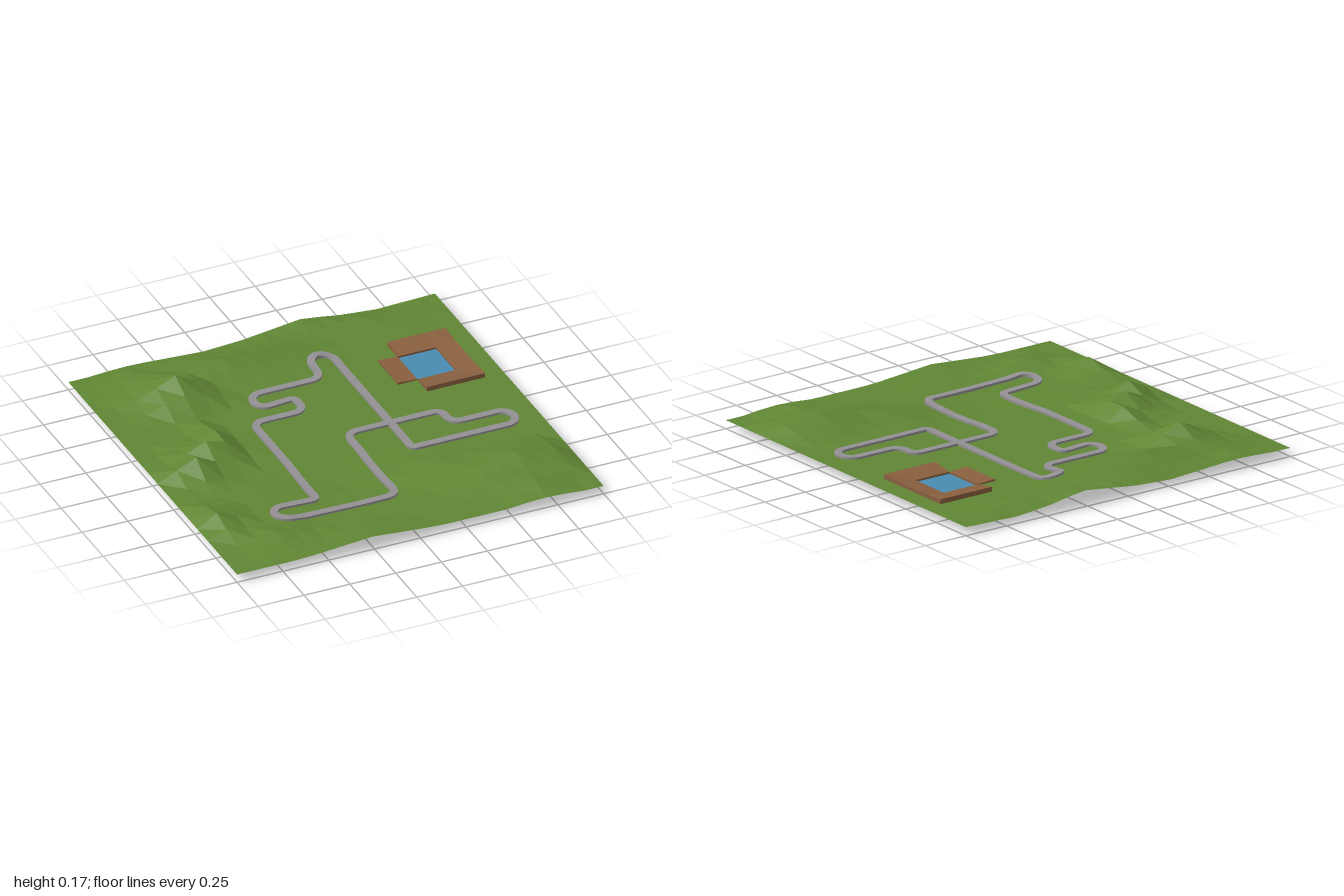
import * as THREE from 'three';

const COLS = 19, ROWS = 17, BASE = 0.045;
const gx = i => -1 + (2 * i) / COLS;
const gz = j => -1 + (2 * j) / ROWS;

// Hills and hollows on the ground grid: column, row, rise, reach in columns, reach in rows
const HILLS = [
  // back edge and north-west ridge
  [4, 3, 0.127, 2.6, 2.2], [7, 2, 0.078, 7, 1.6], [3, 1, 0.03, 2.5, 1.5],
  [12, 0, 0.04, 3, 1.5], [15, 1, 0.03, 4, 1.5], [16, 0, -0.018, 2.5, 1.2], [7, 0, -0.012, 2, 1],
  // western hills
  [2, 9, 0.1, 2, 1.3], [3, 8, 0.1, 2.2, 1.5], [4, 7.5, 0.09, 1.1, 2.5], [1, 13, 0.068, 1.8, 2.2],
  // southern bank, front edge and hollow
  [16, 14, 0.08, 5, 2.2], [13, 13, 0.035, 3, 1.5], [16, 16, 0.043, 2.5, 1.5],
  [3, 15, 0.04, 2.5, 1.6], [7, 17, 0.03, 3.5, 2.2], [8, 12, -0.025, 4, 2.5],
];

// Ground height at a grid corner: highest hill plus deepest hollow, level along both side edges
function ground(i, j) {
  if (i === 0 || i === COLS) return BASE;
  let up = 0, down = 0;
  for (const [ci, cj, rise, ri, rj] of HILLS) {
    const h = rise * Math.max(0, 1 - Math.hypot((i - ci) / ri, (j - cj) / rj));
    up = Math.max(up, h);
    down = Math.min(down, h);
  }
  return BASE + up + down;
}

// Bilinear ground height at any x, z
function groundAt(x, z) {
  const u = ((x + 1) * COLS) / 2, v = ((z + 1) * ROWS) / 2;
  const i = Math.floor(u), j = Math.floor(v), s = u - i, t = v - j;
  const l = THREE.MathUtils.lerp;
  return l(l(ground(i, j), ground(i + 1, j), s), l(ground(i, j + 1), ground(i + 1, j + 1), s), t);
}

// Collects quads with sharp faces
class Faces {
  constructor() { this.p = []; }
  quad(a, b, c, d) { for (const v of [a, b, c, a, c, d]) this.p.push(...v); }
  // Prism under a top quad; walls[k] tells whether edge k gets a side
  block(top, low, walls) {
    this.quad(...top);
    this.quad(low[0], low[3], low[2], low[1]);
    for (let k = 0; k < 4; k++) {
      const n = (k + 1) % 4;
      if (walls[k]) this.quad(low[k], low[n], top[n], top[k]);
    }
  }
  mesh(name, material) {
    const g = new THREE.BufferGeometry();
    g.setAttribute('position', new THREE.Float32BufferAttribute(this.p, 3));
    g.computeVertexNormals();
    const m = new THREE.Mesh(g, material);
    m.name = name;
    return m;
  }
}

// Cell layout of the pond
const isWater = (i, j) => i >= 15 && i < 17 && j >= 4 && j < 6;
const isBank = (i, j) => !isWater(i, j) &&
  ((i >= 15 && i < 18 && j >= 3 && j < 7) || (i === 14 && j >= 4 && j < 6));

function cellCorners(i, j, height) {
  return [[i, j], [i, j + 1], [i + 1, j + 1], [i + 1, j]].map(([a, b]) => [gx(a), height(a, b), gz(b)]);
}

// Slab covering all cells that pass the test, walled along its outline
function cellSlab(inside, top, bottom) {
  const f = new Faces();
  for (let i = 0; i < COLS; i++) for (let j = 0; j < ROWS; j++) {
    if (!inside(i, j)) continue;
    f.block(cellCorners(i, j, top), cellCorners(i, j, bottom),
      [!inside(i - 1, j), !inside(i, j + 1), !inside(i + 1, j), !inside(i, j - 1)]);
  }
  return f;
}

// Closed track centre line: corner x, z and rounding
const CORNERS = [
  [0.285, 0.285, 0.02], [0.87, 0.285, 0.066], [0.87, 0.152, 0.066], [0.56, 0.152, 0.06],
  [0.56, 0.025, 0.04], [0.04, 0.025, 0.06], [0.04, 0.65, 0.06], [-0.6, 0.65, 0.067],
  [-0.6, 0.515, 0.067], [-0.34, 0.515, 0.03], [-0.34, -0.255, 0.06], [-0.05, -0.255, 0.06],
  [-0.05, -0.385, 0.03], [-0.25, -0.365, 0.06], [-0.25, -0.5, 0.067], [0.155, -0.5, 0.06],
  [0.155, -0.685, 0.064], [0.285, -0.685, 0.064],
];

function trackPoints(count) {
  const path = new THREE.Path();
  const at = k => CORNERS[(k + CORNERS.length) % CORNERS.length];
  const toward = (c, n, d) => {
    const len = Math.hypot(n[0] - c[0], n[1] - c[1]);
    return [c[0] + ((n[0] - c[0]) * d) / len, c[1] + ((n[1] - c[1]) * d) / len];
  };
  CORNERS.forEach((c, k) => {
    const r = c[2], p = at(k - 1), n = at(k + 1);
    const start = toward(c, p, r);
    if (k === 0) path.moveTo(...start); else path.lineTo(...start);
    path.bezierCurveTo(...toward(c, p, r * 0.45), ...toward(c, n, r * 0.45), ...toward(c, n, r));
  });
  path.closePath();
  return path.getSpacedPoints(count).slice(0, count);
}

// Raised strip that follows the ground along the centre line
function buildTrack(material) {
  const half = 0.02, pts = trackPoints(420), f = new Faces();
  const rings = pts.map((p, k) => {
    const t = pts[(k + 1) % pts.length].clone().sub(pts[(k + pts.length - 1) % pts.length]).normalize();
    const a = [p.x - t.y * half, p.y + t.x * half], b = [p.x + t.y * half, p.y - t.x * half];
    const y = Math.max(groundAt(...a), groundAt(p.x, p.y), groundAt(...b)) + 0.012;
    const low = Math.min(groundAt(...a), groundAt(...b)) + 0.001;
    return { top: [a, b].map(q => [q[0], y, q[1]]), low: [a, b].map(q => [q[0], low, q[1]]) };
  });
  rings.forEach((r, k) => {
    const n = rings[(k + 1) % rings.length];
    // the order of sides keeps the top facing up
    f.block([r.top[1], r.top[0], n.top[0], n.top[1]].reverse(),
      [r.low[1], r.low[0], n.low[0], n.low[1]].reverse(), [false, true, false, true]);
  });
  return f.mesh('track', material);
}

export function createModel() {
  const paint = (name, color, side = THREE.FrontSide) => {
    const m = new THREE.MeshStandardMaterial({ color, side });
    m.name = name;
    return m;
  };
  const grass = paint('grass green', 0x608634, THREE.DoubleSide);
  const earth = paint('earth brown', 0x89603f);
  const water = paint('water blue', 0x4a8cb2);
  const asphalt = paint('asphalt grey', 0x949094, THREE.DoubleSide);

  const model = new THREE.Group();
  model.name = 'landscape';

  // Faceted ground with an opening for the pond
  const land = new Faces();
  for (let i = 0; i < COLS; i++) for (let j = 0; j < ROWS; j++) {
    if (!isBank(i, j) && !isWater(i, j)) land.quad(...cellCorners(i, j, ground));
  }
  model.add(land.mesh('ground', grass));

  // Earth bank, higher at the rim and sinking towards the water
  const bankTop = (i, j) => {
    const rim = i === 18 || j === 3 || j === 7;
    if (!rim) return i === 14 ? 0.056 : 0.05;
    return i === 18 && j > 3 && j < 7 ? 0.063 : 0.07;
  };
  model.add(cellSlab(isBank, bankTop, (i, j) => bankTop(i, j) - 0.028).mesh('pondBank', earth));

  // Water basin
  model.add(cellSlab(isWater, () => 0.04, (i, j) => (i === 16 && j === 5 ? 0 : 0.005)).mesh('pondWater', water));

  model.add(buildTrack(asphalt));
  return model;
}
